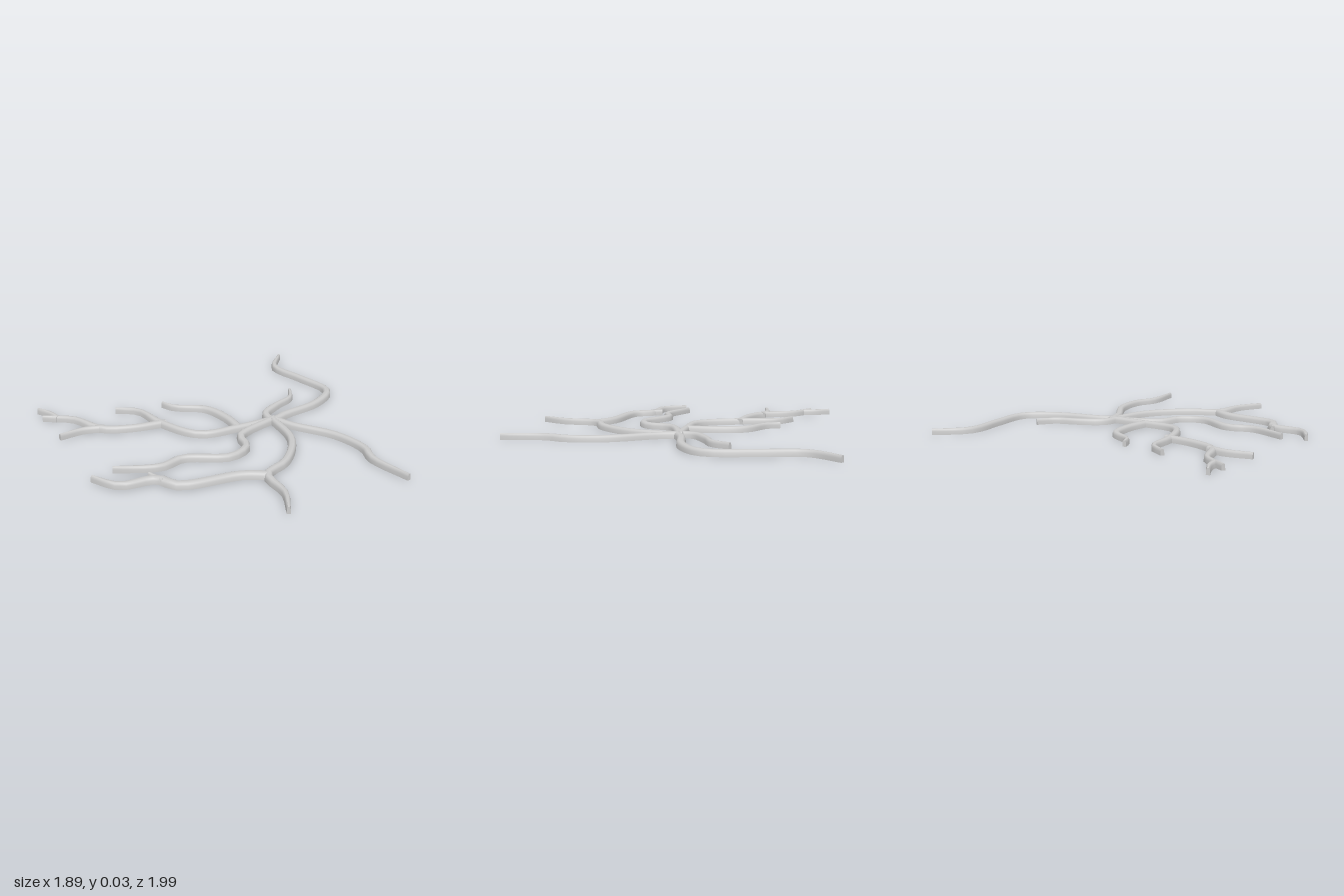
import * as THREE from 'three';
import { toCreasedNormals } from 'three/addons/utils/BufferGeometryUtils.js';

const HEIGHT = 0.033;
const TIP = 0.0095; // half width at the tips
const SIDES = 8; // corners of the cross-section

// Sweeps a flat-bottomed, round-topped section along a ground curve, tapering to the tip
function rootGeometry(path, base) {
  const curve = new THREE.CatmullRomCurve3(path.map(([x, z]) => new THREE.Vector3(x, 0, z)));
  const length = curve.getLength();
  const steps = (path.length - 1) * 4;
  const positions = [];
  const index = [];

  for (let i = 0; i <= steps; i++) {
    const p = curve.getPointAt(i / steps);
    const t = curve.getTangentAt(i / steps);
    const taper = Math.min(1, (length * (1 - i / steps)) / Math.min(0.3, length));
    const w = THREE.MathUtils.lerp(TIP, base, taper);
    for (let j = 0; j < SIDES; j++) {
      const angle = (Math.PI * j) / (SIDES - 1);
      const c = Math.cos(angle);
      const u = -Math.sign(c) * Math.abs(c) ** 0.6 * w;
      const v = Math.max(0, Math.sin(angle)) ** 0.7 * HEIGHT;
      positions.push(p.x + t.z * u, v, p.z - t.x * u);
    }
  }

  for (let i = 0; i < steps; i++) {
    for (let j = 0; j < SIDES; j++) {
      const a = i * SIDES + j;
      const b = i * SIDES + ((j + 1) % SIDES);
      index.push(a, a + SIDES, b, b, a + SIDES, b + SIDES);
    }
  }
  // End caps
  const end = steps * SIDES;
  for (let j = 1; j < SIDES - 1; j++) {
    index.push(0, j, j + 1, end, end + j + 1, end + j);
  }

  const geometry = new THREE.BufferGeometry();
  geometry.setAttribute('position', new THREE.Float32BufferAttribute(positions, 3));
  geometry.setIndex(index);
  return toCreasedNormals(geometry, THREE.MathUtils.degToRad(50));
}

export function createModel() {
  const group = new THREE.Group();
  group.name = 'spreadingRoots';
  const material = new THREE.MeshStandardMaterial({ color: 0xcccccc });

  // Path points are [x, z] on the ground
  const addRoot = (name, path, base = 0.021) => {
    const mesh = new THREE.Mesh(rootGeometry(path, base), material);
    mesh.name = name;
    group.add(mesh);
  };

  // Roots leaving the hub towards the back
  addRoot('longBackRoot', [[0.32, 0.03], [0.38, -0.06], [0.56, -0.235], [0.635, -0.425], [0.495, -0.62],
    [0.35, -0.8], [0.378, -1]], 0.022);
  addRoot('shortBackRoot', [[0.32, 0.03], [0.285, -0.07], [0.345, -0.195], [0.42, -0.3], [0.425, -0.412]]);

  // Roots leaving the hub towards the front
  addRoot('leftFrontRoot', [[0.32, -0.01], [0.41, 0.07], [0.637, 0.19], [0.765, 0.345], [0.79, 0.46], [0.935, 0.65]]);
  addRoot('frontRoot', [[0.315, -0.01], [0.41, 0.25], [0.37, 0.51], [0.285, 0.65], [0.36, 0.83], [0.37, 0.99]]);
  addRoot('frontRootBranch', [[0.295, 0.652], [0.17, 0.655], [-0.12, 0.77], [-0.225, 0.715], [-0.385, 0.787],
    [-0.522, 0.725]], 0.026);
  addRoot('frontRootTwig', [[-0.19, 0.74], [-0.263, 0.682]], 0.018);
  addRoot('windingRoot', [[0.33, -0.01], [0.155, 0.22], [0.185, 0.35], [0.105, 0.467], [-0.12, 0.493],
    [-0.215, 0.59], [-0.44, 0.63]]);

  // Long forked root to the right, with its branches
  addRoot('rightRoot', [[0.33, 0], [0.14, 0.12], [-0.055, 0.207], [-0.265, 0.075], [-0.4, -0.075], [-0.525, -0.085]]);
  addRoot('rightRootExtension', [[-0.24, 0.07], [-0.41, 0.145], [-0.565, 0.16], [-0.725, 0.05], [-0.893, 0.042]]);
  addRoot('rightBackBranch', [[0.145, 0.125], [0.075, -0.01], [-0.04, -0.125], [-0.215, -0.137], [-0.28, -0.18]], 0.023);
  addRoot('rightFrontTwig', [[-0.55, 0.15], [-0.65, 0.185], [-0.757, 0.275]]);
  addRoot('rightEndTwig', [[-0.81, 0.045], [-0.86, -0.01], [-0.94, -0.06]], 0.016);
  return group;
}
